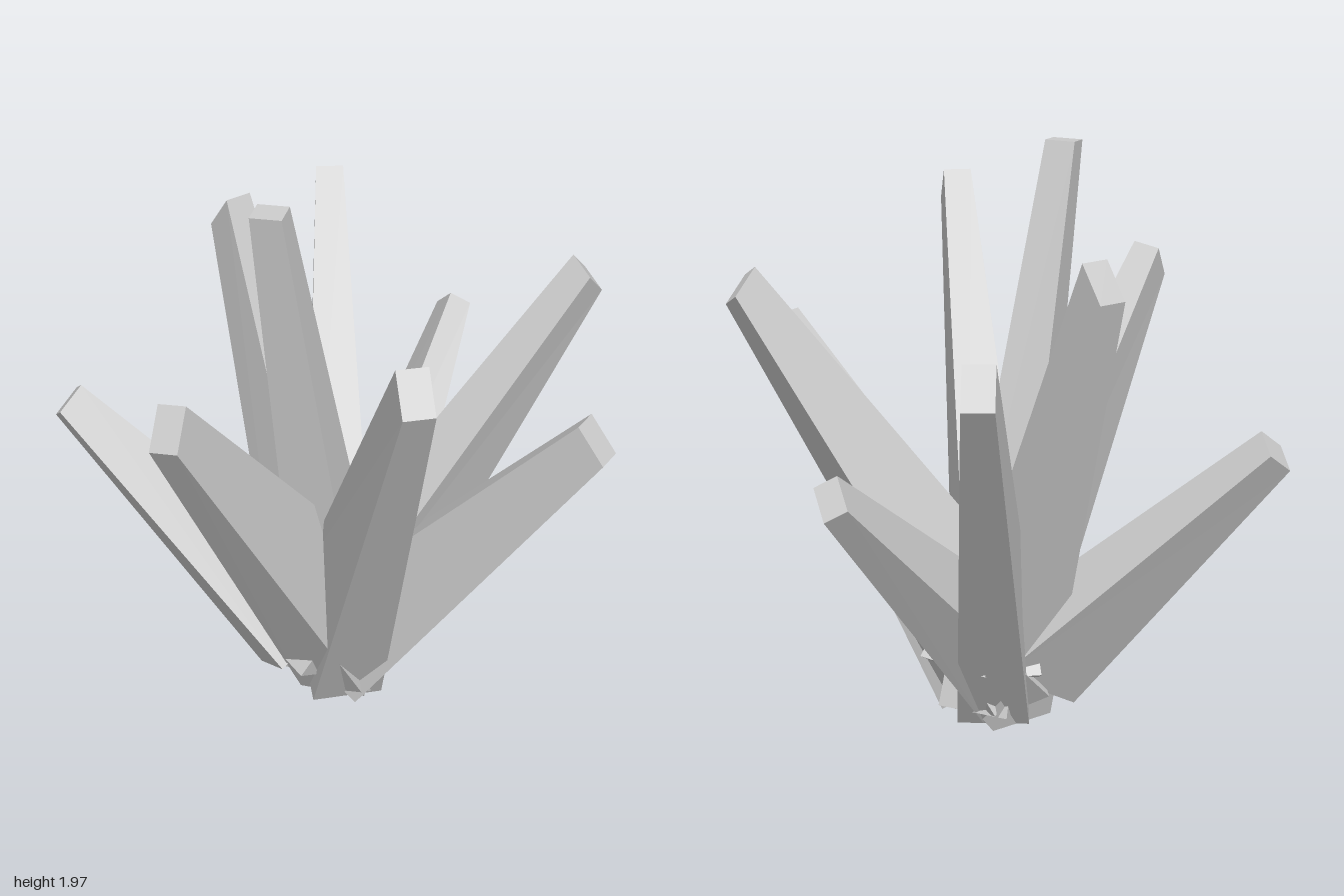
import * as THREE from 'three';

const material = new THREE.MeshStandardMaterial({ color: 0xcccccc, flatShading: true });
const UP = new THREE.Vector3(0, 1, 0);

// Four corners around a centre; roll turns the section about the crystal's length
function ring(center, side, rise, roll, halfWidth, halfDepth) {
  const c = Math.cos(roll), s = Math.sin(roll);
  return [[1, 1], [-1, 1], [-1, -1], [1, -1]].map(([i, j]) => {
    const w = i * halfWidth, d = j * halfDepth;
    return center.clone().addScaledVector(side, w * c + d * s).addScaledVector(rise, d * c - w * s);
  });
}

// A straight tapered four-sided crystal with a deep foot and a slanted cap.
// heel is how far the foot's lowest edge stands out from the centre.
function crystal({ tip, heel = 0.14, heelY = 0.025, foot = 0.125, depth = 0.21, slope = 52, roll = 0, cap = [0.05, 0.075] }) {
  const top = new THREE.Vector3(...tip);
  const turn = THREE.MathUtils.degToRad(roll);
  const angle = THREE.MathUtils.degToRad(slope);
  const lean = new THREE.Vector3(top.x, 0, top.z).normalize();
  const side = new THREE.Vector3().crossVectors(UP, lean);
  const rise = new THREE.Vector3().crossVectors(top, side).normalize();
  const capRise = lean.clone().multiplyScalar(-Math.cos(angle)).addScaledVector(UP, Math.sin(angle));

  const reach = depth * Math.cos(turn) + foot * Math.abs(Math.sin(turn));
  const base = lean.clone().multiplyScalar(heel).setY(heelY).addScaledVector(rise, reach);
  const low = ring(base, side, rise, turn, foot, depth);
  const high = ring(top, side, capRise, turn, ...cap);

  const points = [];
  const quad = (a, b, c, d) => points.push(a, b, c, a, c, d);
  for (let i = 0; i < 4; i++) {
    const j = (i + 1) % 4;
    quad(low[i], low[j], high[j], high[i]);
  }
  quad(...high);
  quad(low[3], low[2], low[1], low[0]);

  const geometry = new THREE.BufferGeometry().setFromPoints(points);
  geometry.computeVertexNormals();
  return new THREE.Mesh(geometry, material);
}

export function createModel() {
  const group = new THREE.Group();
  group.name = 'crystalCluster';

  const crystals = {
    tallCentreCrystal: { tip: [-0.355, 1.995, 0.13], heel: 0.13, depth: 0.15, slope: 4, roll: -20, cap: [0.052, 0.047] },
    frontRightCrystal: { tip: [-0.38, 1.72, 0.905], depth: 0.22 },
    frontLeftCrystal: { tip: [0.385, 1.285, 0.86], depth: 0.195 },
    leftFrontCrystal: { tip: [0.755, 1.575, 0.37], roll: -33, cap: [0.053, 0.063] },
    leftBackCrystal: { tip: [0.86, 1.095, -0.46], depth: 0.22, roll: -38, cap: [0.042, 0.065] },
    backLeftCrystal: { tip: [0.605, 1.515, -0.905], depth: 0.23 },
    backCrystal: { tip: [-0.05, 1.675, -0.57], heel: 0.16, depth: 0.16 },
    backRightCrystal: { tip: [-0.655, 1.06, -0.7], heel: 0.28, heelY: 0.06, foot: 0.12, depth: 0.18, roll: -42, cap: [0.055, 0.06] },
    rightCrystal: { tip: [-0.86, 1.49, 0.32], depth: 0.25, roll: -12 },
  };
  for (const [name, spec] of Object.entries(crystals)) {
    const mesh = crystal(spec);
    mesh.name = name;
    group.add(mesh);
  }
  return group;
}
